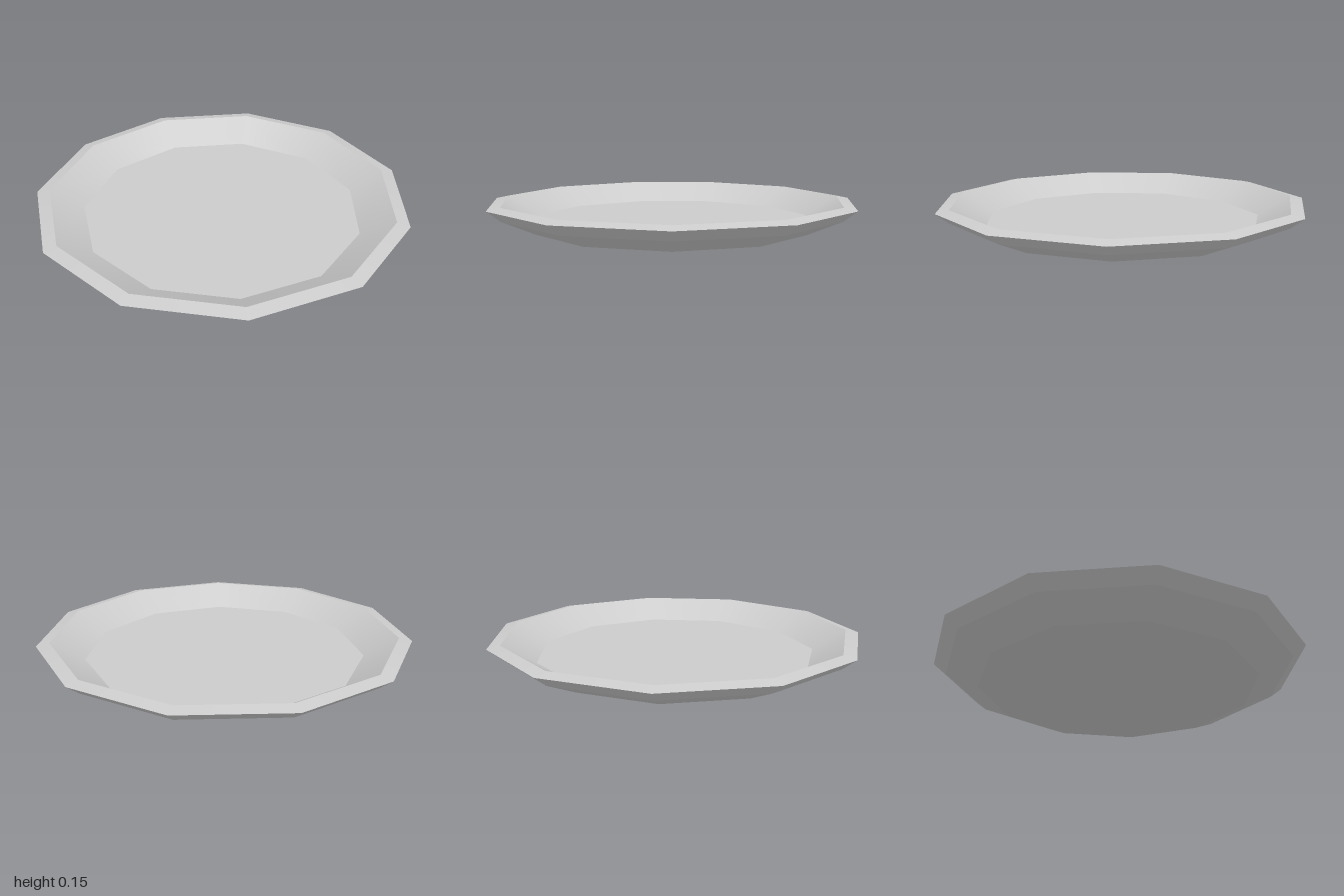
import * as THREE from 'three';

const SIDES = 11;

// One ring of the dish between two [radius, height] points, with a corner facing +x
function band(name, from, to, flat) {
  const points = [from, to].map(([r, y]) => new THREE.Vector2(r, y));
  const geometry = new THREE.LatheGeometry(points, SIDES, Math.PI / 2);
  const material = new THREE.MeshStandardMaterial({ color: 0xcccccc, flatShading: flat });
  const mesh = new THREE.Mesh(geometry, material);
  mesh.name = name;
  return mesh;
}

export function createModel() {
  const base = [0.76, 0];
  const bend = [0.94, 0.08];
  const rimOuter = [1.01, 0.135];
  const rimInner = [0.94, 0.15];
  const floor = [0.76, 0.042];

  const plate = new THREE.Group();
  plate.name = 'plate';
  plate.add(
    // Underside, from the centre outwards and up
    band('base', [0, 0], base, true),
    band('lowerOuterWall', base, bend, true),
    band('upperOuterWall', bend, rimOuter, false),
    // Upper side, from the rim down to the centre
    band('rim', rimOuter, rimInner, false),
    band('innerWall', rimInner, floor, false),
    band('floor', floor, [0, floor[1]], true),
  );

  // An odd number of sides reaches further on +x, so centre it
  plate.position.x = -0.02;

  const model = new THREE.Group();
  model.name = 'shallowPlate';
  model.add(plate);
  return model;
}
